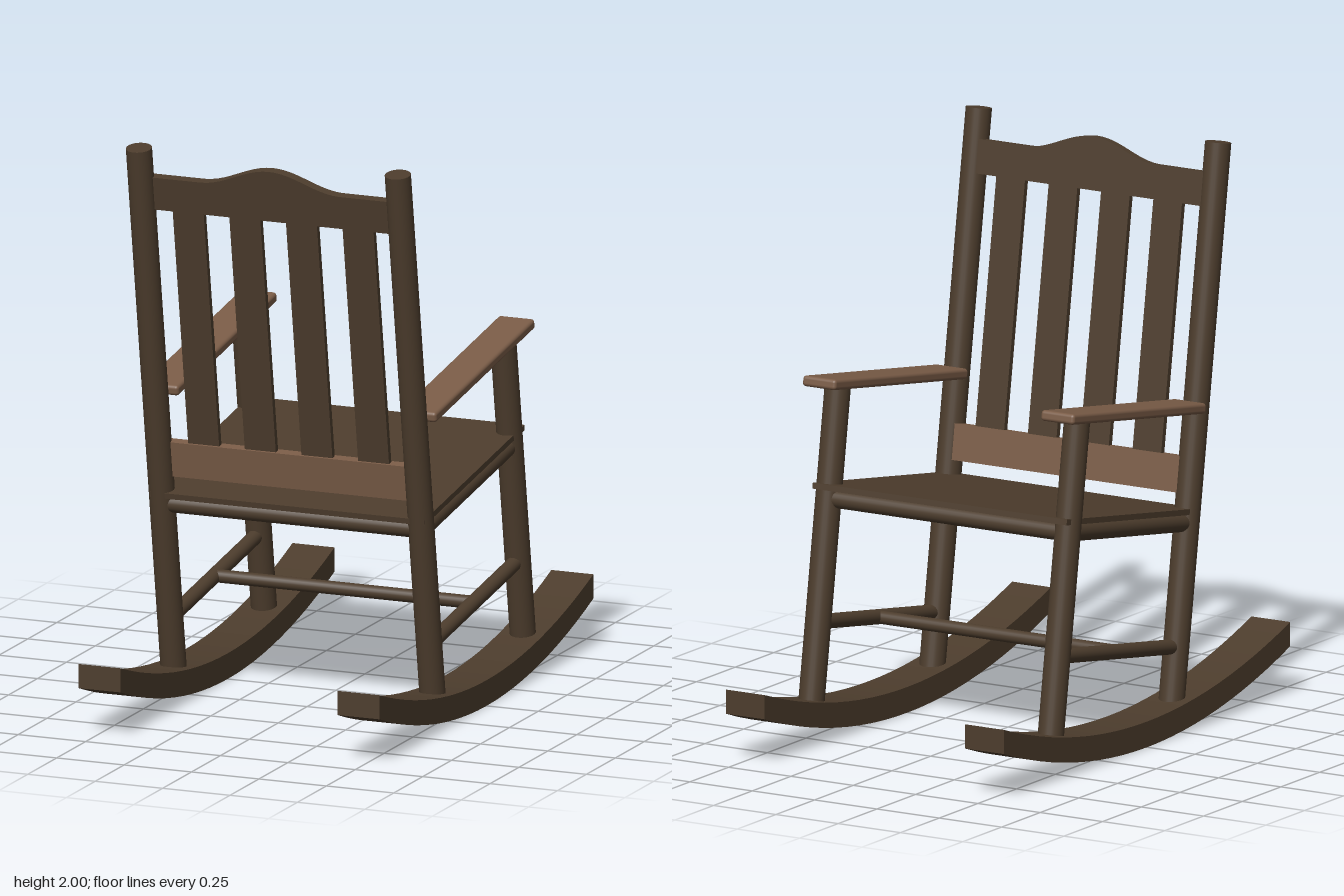
import * as THREE from 'three';
import { RoundedBoxGeometry } from 'three/addons/geometries/RoundedBoxGeometry.js';

const LEAN = THREE.MathUtils.degToRad(9);
const POST_X = 0.48, BACK_Z = 0.266, FRONT_Z = -0.511;

export function createModel() {
  const darkWood = new THREE.MeshStandardMaterial({ color: 0x4d3d2d });
  darkWood.name = 'darkWood';
  const lightWood = new THREE.MeshStandardMaterial({ color: 0x7a5c47 });
  lightWood.name = 'lightWood';

  const model = new THREE.Group();
  model.name = 'rockingChair';
  // Everything above the rockers shares one reclined frame
  const frame = new THREE.Group();
  frame.name = 'recliningFrame';
  frame.rotation.x = LEAN;
  model.add(frame);

  function add(parent, name, geometry, material, x = 0, y = 0, z = 0) {
    const mesh = new THREE.Mesh(geometry, material);
    mesh.name = name;
    mesh.position.set(x, y, z);
    parent.add(mesh);
    return mesh;
  }
  // Round bar between two points of the frame
  function bar(name, a, b, radius) {
    const from = new THREE.Vector3(...a), to = new THREE.Vector3(...b);
    const dir = to.clone().sub(from);
    const mesh = add(frame, name, new THREE.CylinderGeometry(radius, radius, dir.length(), 24), darkWood);
    mesh.position.copy(from).add(to).multiplyScalar(0.5);
    mesh.quaternion.setFromUnitVectors(new THREE.Vector3(0, 1, 0), dir.normalize());
  }

  // Rocker profile, drawn along z and extruded across x
  const profile = new THREE.Shape();
  profile.moveTo(-0.925, 0.165);
  profile.quadraticCurveTo(0, -0.165, 0.925, 0.165);
  profile.lineTo(0.925, 0.25);
  profile.quadraticCurveTo(0, -0.07, -0.925, 0.25);
  profile.closePath();
  const rocker = new THREE.ExtrudeGeometry(profile, { depth: 0.156, bevelEnabled: false, curveSegments: 24 });
  rocker.translate(0, 0, -0.078);
  rocker.rotateY(Math.PI / 2);

  // Mirrored side parts
  for (const [side, s] of [['left', 1], ['right', -1]]) {
    const x = s * POST_X;
    add(model, side + 'Rocker', rocker, darkWood, x);
    bar(side + 'BackPost', [x, 0.11, BACK_Z], [x, 2.06, BACK_Z], 0.045);
    bar(side + 'FrontPost', [x, 0, FRONT_Z], [x, 1.14, FRONT_Z], 0.045);
    bar(side + 'SeatRail', [x, 0.752, FRONT_Z], [x, 0.752, BACK_Z], 0.032);
    bar(side + 'Stretcher', [x, 0.325, FRONT_Z], [x, 0.325, BACK_Z], 0.026);
    add(frame, side + 'Armrest', new RoundedBoxGeometry(0.134, 0.037, 0.872, 3, 0.012),
      lightWood, s * 0.478, 1.152, -0.206);
  }

  // Cross bars
  bar('backSeatRail', [-POST_X, 0.752, BACK_Z], [POST_X, 0.752, BACK_Z], 0.032);
  bar('frontSeatRail', [-POST_X, 0.752, FRONT_Z], [POST_X, 0.752, FRONT_Z], 0.032);
  bar('crossStretcher', [-POST_X, 0.325, -0.122], [POST_X, 0.325, -0.122], 0.023);

  // Seat board
  add(frame, 'seat', new THREE.BoxGeometry(1.02, 0.02, 0.875), darkWood, 0, 0.792, -0.135);

  // Backrest: lower rail, slats and curved crest
  add(frame, 'lowerBackRail', new THREE.BoxGeometry(0.92, 0.126, 0.036), lightWood, 0, 0.915, 0.25);
  for (let i = 0; i < 4; i++) {
    add(frame, 'backSlat', new THREE.BoxGeometry(0.115, 0.92, 0.02), darkWood, (i - 1.5) * 0.21, 1.41, 0.25);
  }
  const crest = new THREE.Shape();
  crest.moveTo(-0.46, 1.837);
  crest.lineTo(0.46, 1.837);
  for (let i = 0; i <= 40; i++) {
    const x = 0.46 - 0.023 * i;
    const bump = Math.abs(x) < 0.26 ? 0.033 * (1 + Math.cos(Math.PI * x / 0.26)) : 0;
    crest.lineTo(x, 1.955 + bump);
  }
  crest.closePath();
  add(frame, 'crestRail', new THREE.ExtrudeGeometry(crest, { depth: 0.036, bevelEnabled: false }),
    darkWood, 0, 0, 0.232);

  return model;
}
